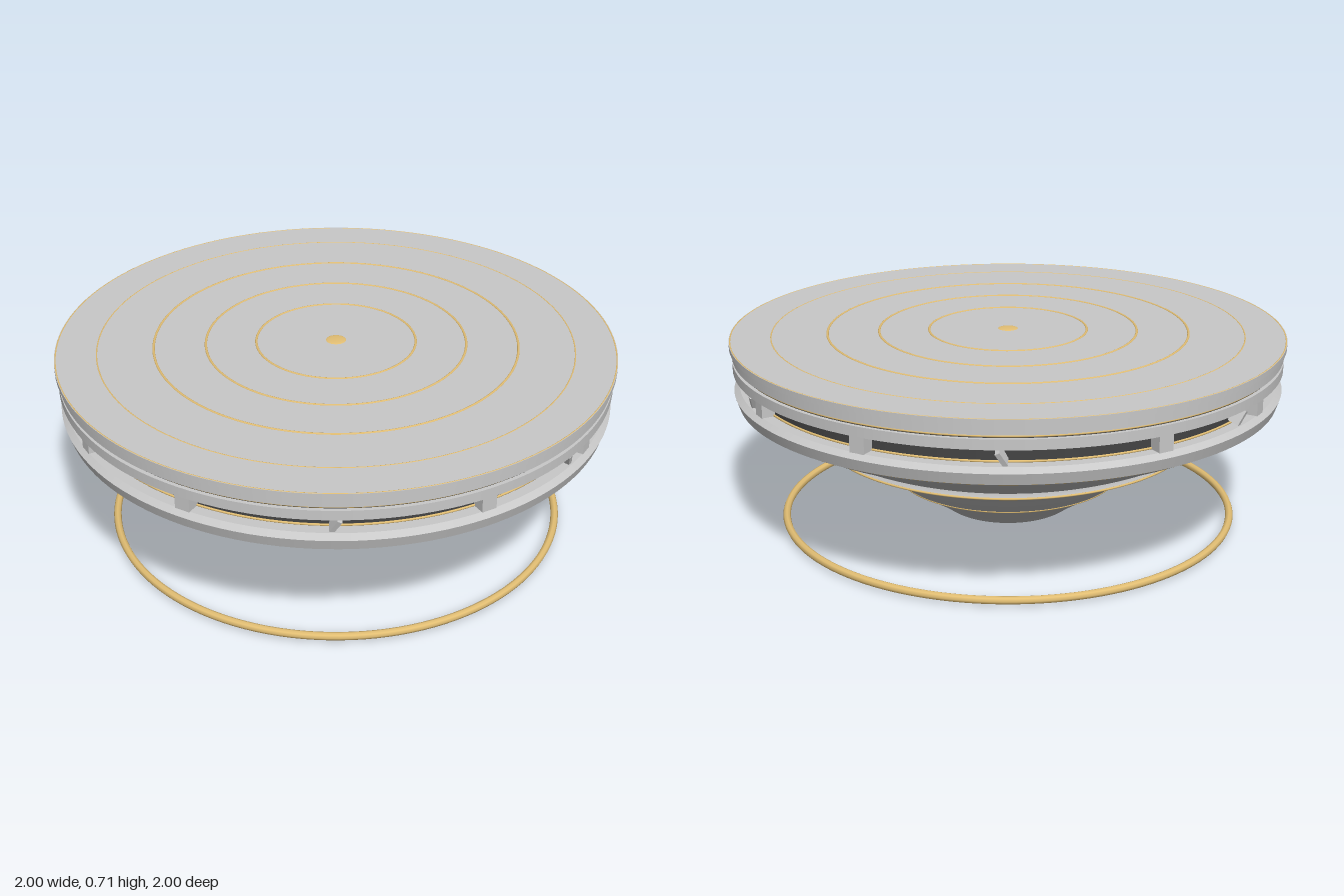
import * as THREE from 'three';

const mat = (name, color, side = THREE.FrontSide) => {
  const m = new THREE.MeshStandardMaterial({ color, side });
  m.name = name;
  return m;
};

export function createModel() {
  const model = new THREE.Group();
  model.name = 'saucerStation';
  const plate = mat('light grey plate', 0xc8c8c8);
  const hull = mat('hull grey', 0xb8b8b8, THREE.DoubleSide);
  const recess = mat('dark recess', 0x444444);
  const gold = mat('gold trim', 0xe3bf74);

  const add = (name, geometry, material, parent = model) => {
    const mesh = new THREE.Mesh(geometry, material);
    mesh.name = name;
    parent.add(mesh);
    return mesh;
  };
  const ring = (name, radius, y, tube) => {
    const mesh = add(name, new THREE.TorusGeometry(radius, tube, 8, 128), gold);
    mesh.rotation.x = Math.PI / 2;
    mesh.position.y = y;
  };
  const disc = (name, radius, y0, y1, material, lower = radius) => {
    const mesh = add(name, new THREE.CylinderGeometry(radius, lower, y1 - y0, 128), material);
    mesh.position.y = (y0 + y1) / 2;
  };
  // Smoothly curved shell through a few [radius, height] points
  const shell = (name, points) => {
    const curve = new THREE.SplineCurve(points.map(([r, y]) => new THREE.Vector2(r, y)));
    add(name, new THREE.LatheGeometry(curve.getPoints(32), 128), hull);
  };

  // Lower hull in three flared tiers, the lowest closing in a shallow belly
  shell('lowerHull', [[0.001, 0.003], [0.09, 0.008], [0.17, 0.02], [0.23, 0.039],
    [0.27, 0.068], [0.33, 0.107], [0.41, 0.157]]);
  shell('middleHull', [[0.41, 0.157], [0.46, 0.2], [0.51, 0.243], [0.58, 0.277], [0.68, 0.315]]);
  shell('hullLedge', [[0.68, 0.315], [0.665, 0.322], [0.65, 0.325]]);
  shell('upperHull', [[0.65, 0.325], [0.71, 0.352], [0.79, 0.395], [0.89, 0.443], [0.965, 0.487]]);

  // Stacked rim: bands separated by grooves
  disc('lowerBand', 0.988, 0.487, 0.527, plate, 0.975);
  disc('lowerBandBevel', 0.968, 0.527, 0.543, plate, 0.988);
  disc('windowRecess', 0.925, 0.54, 0.608, recess);
  disc('middleBand', 0.989, 0.605, 0.64, plate);
  disc('upperGroove', 0.975, 0.64, 0.653, recess);
  disc('upperBand', 0.989, 0.653, 0.688, plate);
  disc('topDeck', 0.998, 0.688, 0.707, plate);

  // Support posts around the recess, leaving two opposite bays to the fins
  const posts = new THREE.Group();
  posts.name = 'supportPosts';
  model.add(posts);
  for (let i = 0; i < 12; i++) {
    if (i % 6 === 5) continue;
    const a = Math.PI / 12 + (i * Math.PI) / 6;
    const post = add('post', new THREE.BoxGeometry(0.055, 0.062, 0.05), plate, posts);
    post.position.set(0.945 * Math.sin(a), 0.572, 0.945 * Math.cos(a));
    post.rotation.y = a;
  }

  // Six leaning fins between the posts
  const fins = new THREE.Group();
  fins.name = 'leaningFins';
  model.add(fins);
  [-15, 38, 100, 163, 217, 270].forEach((degrees, i) => {
    const a = THREE.MathUtils.degToRad(degrees);
    const fin = add('fin', new THREE.BoxGeometry(0.016, 0.055, 0.05), plate, fins);
    fin.position.set(0.945 * Math.sin(a), 0.572, 0.945 * Math.cos(a));
    fin.rotation.set(0.3, a, i % 2 ? 0.5 : -0.5, 'YXZ');
  });

  // Gold seams on the hull and rim
  [[0.41, 0.158], [0.677, 0.317], [0.967, 0.487], [0.927, 0.546], [0.927, 0.602], [0.975, 0.646]]
    .forEach(([r, y]) => ring('hullSeam', r, y, 0.004));

  // Concentric deck inlays and centre boss
  [0.285, 0.465, 0.65].forEach((r) => ring('deckInlay', r, 0.7055, 0.005));
  ring('outerDeckInlay', 0.85, 0.7055, 0.003);
  ring('deckEdge', 0.994, 0.705, 0.003);
  const boss = add('centreBoss', new THREE.SphereGeometry(0.037, 24, 12), gold);
  boss.scale.y = 0.12;
  boss.position.y = 0.706;

  // Free-floating ring beneath the hull
  ring('floatingRing', 0.826, 0.023, 0.014);
  return model;
}
